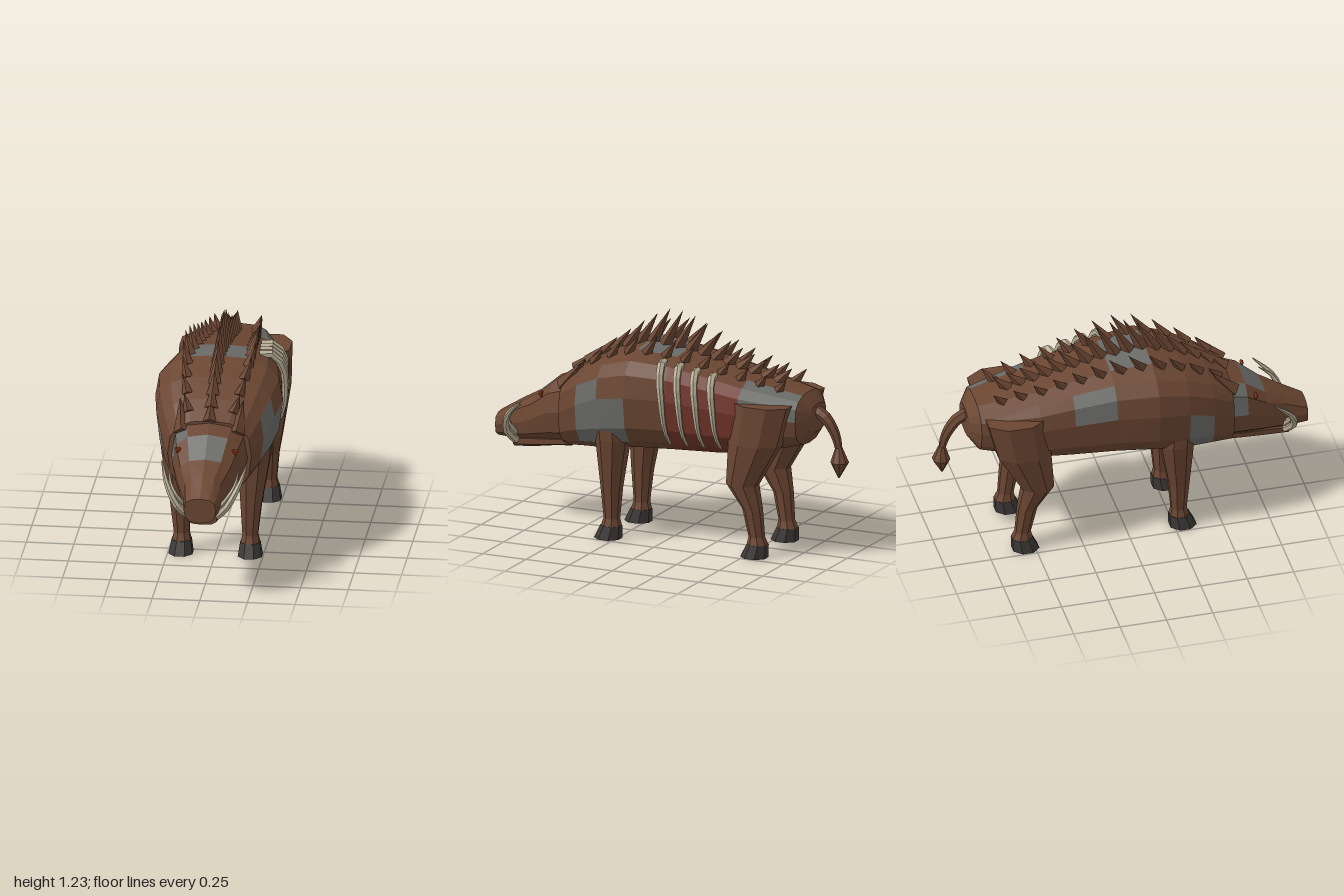
import * as THREE from 'three';

const mat = (name, color) => Object.assign(new THREE.MeshStandardMaterial({ color }), { name });

// Flat-faced loft through equal-sized rings; paint(i, j) picks a material index per facet.
function loft(rings, paint = () => 0) {
  const n = rings[0].length, buckets = [];
  const tri = (m, ...pts) => (buckets[m] ??= []).push(...pts.flatMap(p => p.toArray()));
  for (let i = 0; i < rings.length - 1; i++) for (let j = 0; j < n; j++) {
    const k = (j + 1) % n, m = paint(i, j);
    const a = rings[i][j], b = rings[i][k], c = rings[i + 1][k], d = rings[i + 1][j];
    tri(m, a, d, c);
    tri(m, a, c, b);
  }
  const cap = (ring, flip) => {
    const mid = ring.reduce((s, p) => s.add(p), new THREE.Vector3()).divideScalar(n);
    ring.forEach((p, j) => {
      const q = ring[(j + 1) % n];
      flip ? tri(0, mid, p, q) : tri(0, mid, q, p);
    });
  };
  cap(rings[0], true);
  cap(rings.at(-1), false);
  // caps: start faces away from the path, end faces along it
  const g = new THREE.BufferGeometry(), all = [];
  buckets.forEach((b, m) => {
    g.addGroup(all.length / 3, b.length / 3, m);
    for (const v of b) all.push(v);
  });
  g.setAttribute('position', new THREE.Float32BufferAttribute(all, 3));
  g.computeVertexNormals();
  return g;
}

// Point on a squarish oval section [z, halfWidth, top, middle, bottom]; t runs from the top towards +x.
const soft = (v, e) => Math.sign(v) * Math.abs(v) ** e;
function ovalPoint([z, w, top, mid, bot], t, grow = 0) {
  const c = soft(Math.cos(t), 0.7);
  return new THREE.Vector3((w + grow) * soft(Math.sin(t), 0.8), mid + c * ((c > 0 ? top - mid : mid - bot) + grow), z);
}
const ovalRing = (s, n) => Array.from({ length: n }, (_, j) => ovalPoint(s, j / n * Math.PI * 2));

// Leg rings run from top to bottom: [y, x, z, rx, rz]
const legRing = side => ([y, x, z, rx, rz]) => Array.from({ length: 8 }, (_, j) => {
  const t = (j + 0.5) / 8 * Math.PI * 2;
  return new THREE.Vector3(side * x + rx * Math.sin(t) * 1.08, y, z + rz * Math.cos(t) * 1.08);
});

// Tube narrowing along its length
function taperTube(points, r, end, sides = 6, seg = 8) {
  const curve = new THREE.CatmullRomCurve3(points.map(p => p.isVector3 ? p : new THREE.Vector3(...p)));
  const g = new THREE.TubeGeometry(curve, seg, r, sides), pos = g.attributes.position, v = new THREE.Vector3();
  for (let k = 0; k < pos.count; k++) {
    const u = Math.floor(k / (sides + 1)) / seg;
    v.fromBufferAttribute(pos, k).lerp(curve.getPointAt(u), u * u * (1 - end));
    pos.setXYZ(k, v.x, v.y, v.z);
  }
  const flat = g.toNonIndexed();
  flat.computeVertexNormals();
  return flat;
}

const BODY = [
  [-0.83, 0.1, 0.82, 0.74, 0.67], [-0.78, 0.175, 0.88, 0.75, 0.6], [-0.48, 0.255, 0.94, 0.77, 0.52],
  [-0.3, 0.275, 0.98, 0.79, 0.505], [-0.08, 0.3, 1.025, 0.81, 0.495], [0.14, 0.335, 1.045, 0.81, 0.485],
  [0.31, 0.31, 0.99, 0.78, 0.455], [0.45, 0.27, 0.92, 0.72, 0.45], [0.57, 0.22, 0.84, 0.65, 0.44],
];
const HEAD = [
  [0.54, 0.205, 0.84, 0.65, 0.46], [0.655, 0.185, 0.795, 0.63, 0.45], [0.77, 0.145, 0.7, 0.57, 0.44],
  [0.87, 0.105, 0.645, 0.53, 0.425], [1, 0.085, 0.565, 0.5, 0.43],
];
const JAW = [[0.56, 0.13, 0.5, 0.47, 0.435], [0.63, 0.125, 0.49, 0.46, 0.43], [0.78, 0.1, 0.47, 0.44, 0.4], [0.9, 0.08, 0.45, 0.42, 0.385]];

// Interpolated body section at any z
function bodyAt(z) {
  let i = 0;
  while (i < BODY.length - 2 && BODY[i + 1][0] < z) i++;
  const f = (z - BODY[i][0]) / (BODY[i + 1][0] - BODY[i][0]);
  return BODY[i].map((v, k) => v + (BODY[i + 1][k] - v) * f);
}

function bodyPaint(i, j) {
  const within = (a, b) => j >= a && j <= b;
  if (i === 1 && within(1, 3)) return 1;                              // rump patch
  if ((i === 2 || i === 3) && within(2, 6)) return 2;                 // open flank
  if (i === 3 && within(12, 13)) return 1;                            // far flank patch
  if (i === 4 && (j === 0 || j === 15)) return 1;                     // back patch
  if ((i === 5 || i === 6) && within(4, 5) || i === 6 && j === 3) return 1; // shoulder patch
  if (i === 6 && within(10, 11)) return 1;                            // far shoulder patch
  return 0;
}
const headPaint = (i, j) => (i === 1 && (j === 0 || j === 11)) || (i === 0 && (j === 9 || j === 10)) ? 1 : 0;

export function createModel() {
  const group = new THREE.Group();
  const hide = mat('brown hide', 0x6b4632), grey = mat('grey patch', 0x6a6a68), flesh = mat('red flesh', 0x70342a);
  const bone = mat('bone', 0xb8ad94), hoofMat = mat('dark hoof', 0x3c3737), eyeMat = mat('orange eye', 0xc8481c);
  const add = (name, geo, material) => {
    const m = new THREE.Mesh(geo, material);
    m.name = name;
    group.add(m);
    return m;
  };

  // Body, head and jaw
  add('body', loft(BODY.map(s => ovalRing(s, 16)), bodyPaint), [hide, grey, flesh]);
  add('head', loft(HEAD.map(s => ovalRing(s, 12)), headPaint), [hide, grey]);
  add('jaw', loft(JAW.map(s => ovalRing(s, 10))), [hide]);

  // Bristle spikes, swept backwards
  const spike = (name, base, dir, r, len) => {
    const g = new THREE.ConeGeometry(r, len, 4).toNonIndexed();
    g.computeVertexNormals();
    g.translate(0, len / 2 - 0.015, 0);
    const m = add(name, g, hide);
    m.position.copy(base);
    m.quaternion.setFromUnitVectors(new THREE.Vector3(0, 1, 0), new THREE.Vector3(...dir).normalize());
  };
  const bump = z => Math.exp(-(((z - 0.07) / 0.28) ** 2));
  for (let k = 0; k < 17; k++) {
    const z = 0.56 - k * 0.073, b = bump(z);
    spike('spineSpike', ovalPoint(bodyAt(z), 0), [0, 0.7 + 0.2 * b, -0.68 + 0.22 * b], 0.036, 0.12 + 0.11 * b);
  }
  for (const side of [-1, 1]) for (let k = 0; k < 12; k++) {
    const z = 0.5 - k * 0.105, b = bump(z);
    spike('sideSpike', ovalPoint(bodyAt(z), side * 0.42), [side * 0.28, 0.75 + 0.1 * b, -0.6], 0.03, 0.1 + 0.05 * b);
  }

  // Ribs standing out of the open flank
  for (let k = 0; k < 4; k++) {
    const z0 = -0.03 - k * 0.093;
    const pts = [0.6, 0.85, 1.2, 1.55, 1.9, 2.2].map((t, i) => ovalPoint(bodyAt(z0 - i * 0.015), t, i === 0 ? -0.01 : 0.022));
    add('rib', taperTube(pts, 0.022, 0.35), bone);
  }

  for (const side of [-1, 1]) {
    // Legs and hooves
    const ring = legRing(side);
    add('frontLeg', loft([
      [0.66, 0.21, 0.265, 0.08, 0.09], [0.55, 0.2, 0.26, 0.085, 0.088], [0.28, 0.185, 0.275, 0.055, 0.055],
      [0.11, 0.18, 0.277, 0.04, 0.04], [0.065, 0.18, 0.28, 0.05, 0.052]].map(ring)), [hide]);
    add('hindLeg', loft([
      [0.835, 0.19, -0.6, 0.1, 0.157], [0.62, 0.195, -0.562, 0.095, 0.14], [0.39, 0.19, -0.485, 0.07, 0.083],
      [0.26, 0.185, -0.54, 0.05, 0.05], [0.11, 0.18, -0.562, 0.04, 0.04], [0.065, 0.18, -0.567, 0.05, 0.055]].map(ring)), [hide]);
    for (const [name, z] of [['frontHoof', 0.28], ['hindHoof', -0.567]])
      add(name, loft([[0.07, 0.18, z, 0.051, 0.054], [0, 0.182, z + 0.018, 0.063, 0.07]].map(ring)), [hoofMat]);

    // Ears, tusks and eyes
    spike('ear', new THREE.Vector3(side * 0.145, 0.79, 0.57), [side * 0.12, 0.72, -0.6], 0.045, 0.19);
    add('longTusk', taperTube([[side * 0.075, 0.43, 0.88], [side * 0.13, 0.49, 0.91], [side * 0.185, 0.59, 0.88],
      [side * 0.225, 0.69, 0.78]], 0.021, 0.15), bone);
    add('shortTusk', taperTube([[side * 0.085, 0.47, 0.87], [side * 0.135, 0.54, 0.9], [side * 0.17, 0.6, 0.87],
      [side * 0.18, 0.66, 0.8]], 0.015, 0.15), bone);
    for (const [dx, dy] of [[-0.008, 0.006], [0.008, 0.006], [0, -0.007]])
      add('eye', new THREE.IcosahedronGeometry(0.011, 0), eyeMat).position.set(side * 0.152 + dx, 0.722 + dy, 0.702);
  }

  // Tail with a pointed tuft
  add('tail', taperTube([[0, 0.78, -0.81], [0, 0.75, -0.87], [0, 0.66, -0.93], [0, 0.56, -0.955]], 0.032, 0.5), hide);
  add('tailTuft', loft([[0.6, 0, -0.95, 0.015, 0.015], [0.515, 0, -0.955, 0.045, 0.045], [0.43, 0, -0.95, 0.004, 0.004]]
    .map(legRing(1))), [hide]);
  return group;
}
